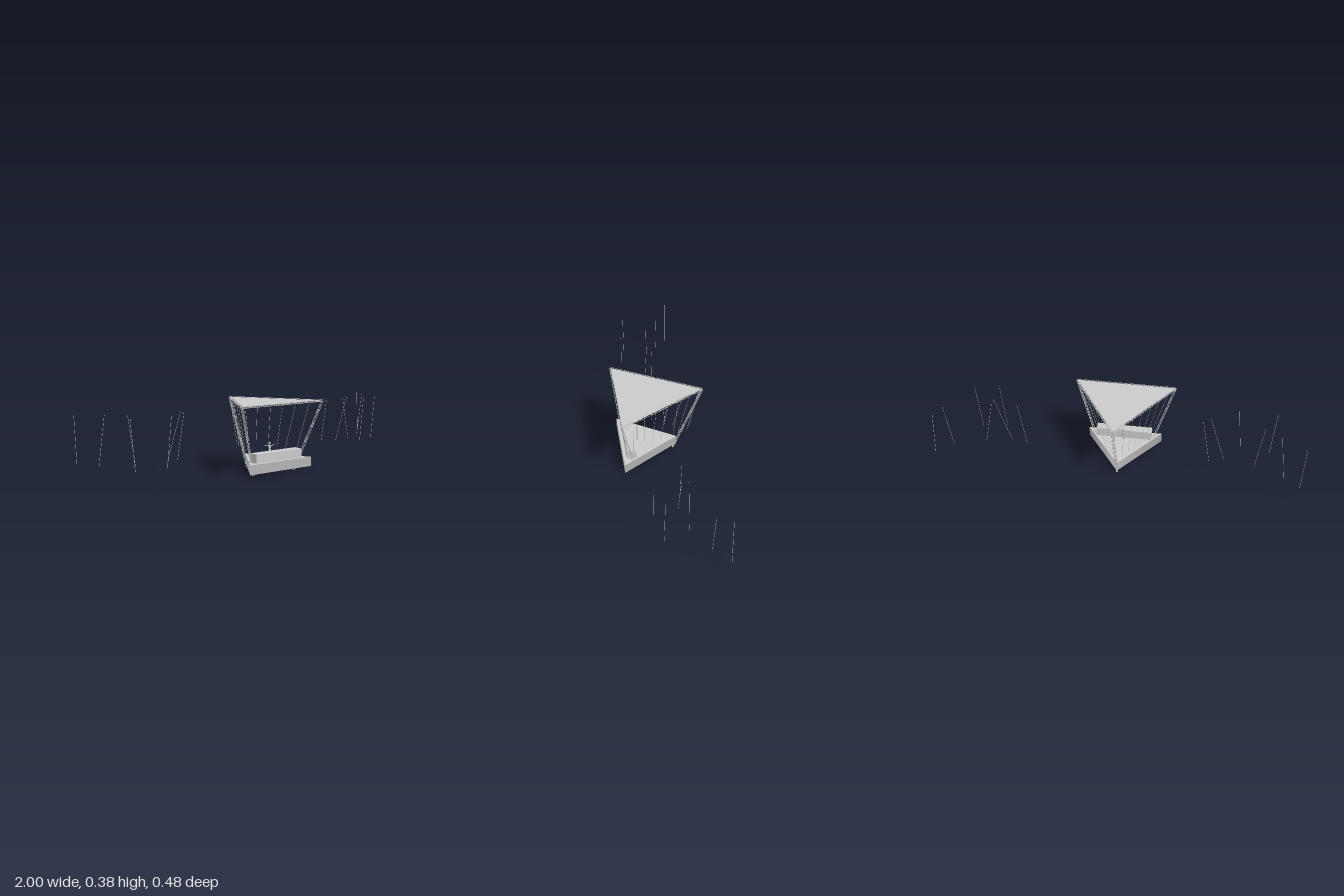
import * as THREE from 'three';
import { mergeGeometries } from 'three/addons/utils/BufferGeometryUtils.js';

const CX = -0.005; // the stage sits slightly off the centre line
const V = (x, y, z) => new THREE.Vector3(x, y, z);
const grey = new THREE.MeshStandardMaterial({ color: 0xcccccc });

function mesh(name, geometry) {
  const m = new THREE.Mesh(geometry, grey);
  m.name = name;
  return m;
}

// Round bar between two points
function bar(a, b, r, sides = 5, r2 = r) {
  const d = b.clone().sub(a);
  const g = new THREE.CylinderGeometry(r2, r, d.length(), sides);
  g.applyQuaternion(new THREE.Quaternion().setFromUnitVectors(V(0, 1, 0), d.normalize()));
  const c = a.clone().add(b).multiplyScalar(0.5);
  return g.translate(c.x, c.y, c.z);
}

// Square lattice truss: four chords with zigzag lacing on each side
function truss(name, a, b, half = 0.0042, step = 0.013) {
  const d = b.clone().sub(a);
  const n = Math.round(d.length() / step);
  d.normalize();
  const ref = Math.abs(d.y) > 0.5 ? V(0, 0, 1) : V(0, 1, 0);
  const u = ref.clone().cross(d).normalize();
  const v = d.clone().cross(u);
  const corner = (i, t) => {
    const q = Math.PI / 4 + (i * Math.PI) / 2;
    return a.clone().lerp(b, t)
      .addScaledVector(u, Math.cos(q) * half * Math.SQRT2)
      .addScaledVector(v, Math.sin(q) * half * Math.SQRT2);
  };
  const parts = [];
  for (let i = 0; i < 4; i++) {
    parts.push(bar(corner(i, 0), corner(i, 1), 0.001));
    for (let k = 0; k < n; k++) {
      parts.push(bar(corner(i + (k % 2), k / n), corner(i + ((k + 1) % 2), (k + 1) / n), 0.0005, 4));
    }
  }
  return mesh(name, mergeGeometries(parts));
}

// Triangular slab pointing to the back
function slab(name, halfWidth, back, front, y0, y1) {
  const r = (front - back) / 1.5;
  const g = new THREE.CylinderGeometry(1, 1, y1 - y0, 3);
  g.rotateY(Math.PI).scale(halfWidth / 0.866, 1, r);
  return mesh(name, g.translate(CX, (y0 + y1) / 2, back + r));
}

function createPerformer() {
  const g = new THREE.Group();
  g.name = 'performer';
  const ball = (name, x, y, rx, ry, rz) =>
    g.add(mesh(name, new THREE.SphereGeometry(1, 10, 8).scale(rx, ry, rz).translate(x, y, 0)));
  ball('head', 0, 0.085, 0.0045, 0.007, 0.005);
  ball('chest', 0, 0.064, 0.008, 0.011, 0.0045);
  ball('hips', 0, 0.048, 0.007, 0.008, 0.0045);
  g.add(mesh('neck', bar(V(0, 0.07, 0), V(0, 0.08, 0), 0.002, 8)));
  for (const s of [-1, 1]) {
    g.add(mesh('arm', bar(V(s * 0.006, 0.071, 0), V(s * 0.037, 0.073, 0), 0.0024, 8, 0.0015)));
    g.add(mesh('leg', bar(V(s * 0.004, 0.002, 0), V(s * 0.004, 0.046, 0), 0.002, 8, 0.0036)));
    g.add(mesh('foot', new THREE.BoxGeometry(0.004, 0.003, 0.009).translate(s * 0.004, 0.0015, -0.001)));
  }
  g.position.set(CX - 0.003, 0.073, 0.123);
  return g;
}

export function createModel() {
  const model = new THREE.Group();
  model.name = 'triangularStage';

  // Deck, desk and performer
  model.add(slab('stageDeck', 0.2125, -0.097, 0.218, 0.021, 0.073));
  model.add(mesh('desk', new THREE.BoxGeometry(0.316, 0.049, 0.053).translate(CX, 0.0975, 0.1735)));
  model.add(createPerformer());

  // Roof panel, roof trusses and leaning legs
  model.add(slab('roofPanel', 0.278, -0.233, 0.233, 0.379, 0.381));
  const tops = [V(CX - 0.279, 0.379, 0.235), V(CX + 0.279, 0.379, 0.235), V(CX, 0.379, -0.236)];
  const feet = [V(CX - 0.144, 0.003, 0.155), V(CX + 0.144, 0.003, 0.155), V(CX, 0.003, -0.079)];
  tops.forEach((top, i) => {
    model.add(truss('roofTruss', top, tops[(i + 1) % 3]));
    model.add(truss('legTruss', feet[i], top));
    model.add(mesh('footPlate', new THREE.BoxGeometry(0.01, 0.002, 0.01).translate(feet[i].x, 0.001, feet[i].z)));
  });

  // Light beams under the sloping sides of the roof: top z, lower z right, lower z left
  const inner = [
    [0.172, 0.142, 0.165], [0.106, 0.074, 0.1], [0.042, 0.026, 0.054], [-0.022, -0.045, 0.008],
    [-0.09, -0.037, -0.068], [-0.158, -0.08, -0.1], [-0.22, -0.16, -0.16],
  ];
  for (const [z, zr, zl] of inner) {
    const x = (0.279 * (z + 0.236)) / 0.471;
    for (const s of [-1, 1]) {
      model.add(mesh('roofBeam', bar(V(CX + s * x, 0.373, z), V(CX + s * x * 0.65, 0.12, s < 0 ? zr : zl), 0.0008)));
    }
  }

  // Free light beams at both sides: top x, bottom x, z
  const outer = [
    [-0.999, -0.99, -0.188], [-0.873, -0.91, -0.113], [-0.852, -0.83, 0.1], [-0.788, -0.75, -0.034],
    [-0.643, -0.67, 0.135], [-0.5, -0.585, 0], [-0.46, -0.505, -0.026],
    [0.56, 0.517, -0.026], [0.7, 0.613, 0], [0.7, 0.753, -0.034], [0.705, 0.678, 0.135],
    [0.838, 0.811, 0.1], [0.955, 0.913, -0.113], [0.985, 0.999, -0.188],
  ];
  for (const [x0, x1, z] of outer) {
    model.add(mesh('sideBeam', bar(V(x0, 0.355, z), V(x1, 0.096, z), 0.0008)));
  }
  return model;
}
